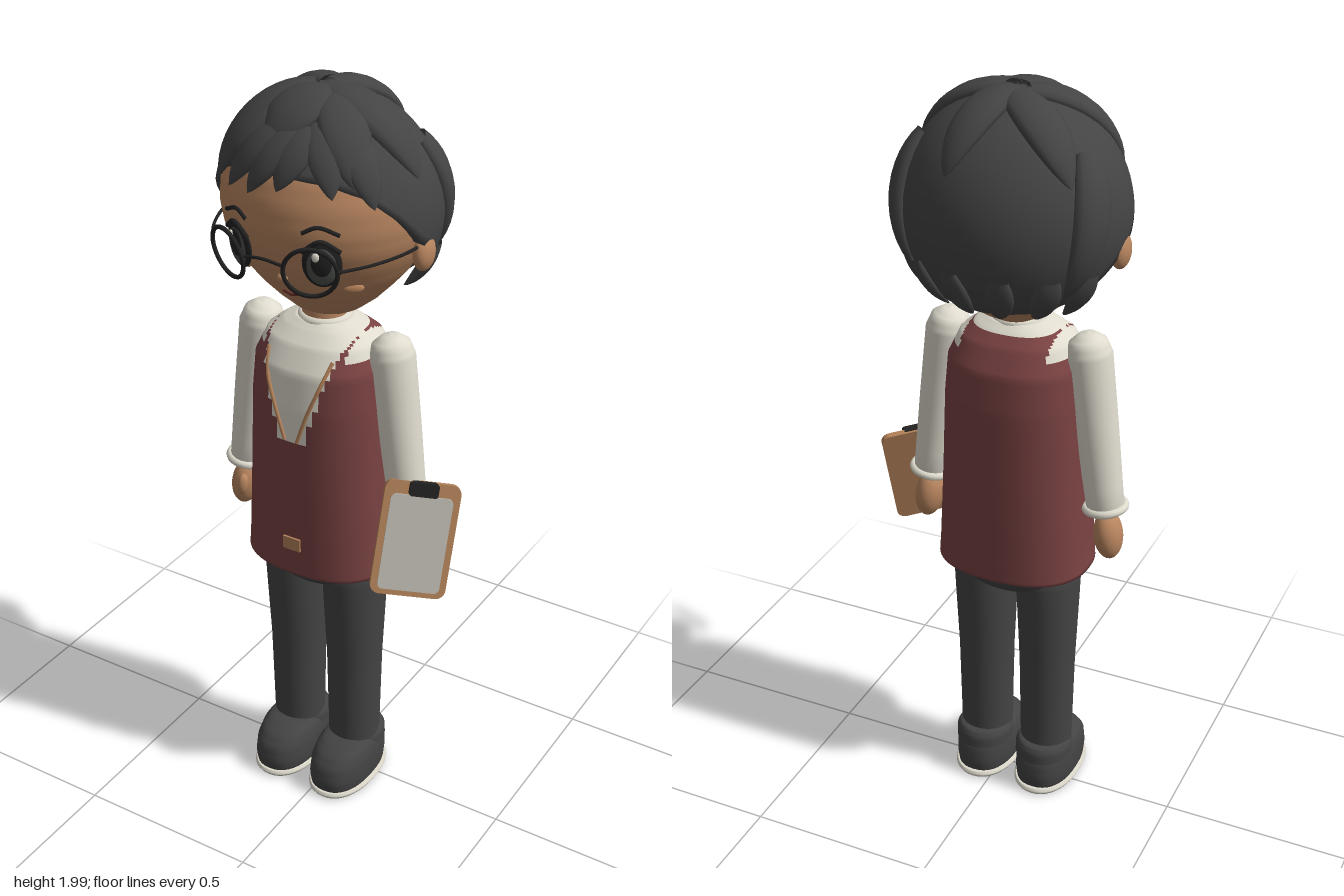
import * as THREE from 'three';

const mat = (name, color) => Object.assign(new THREE.MeshStandardMaterial({ color }), { name });

// Closed grid surface: fn(u, v) gives a point, u runs around, v runs along; pick chooses a material per face
function surface(nu, nv, fn, pick) {
  const pos = [], idx = [[], []];
  for (let j = 0; j <= nv; j++) for (let i = 0; i < nu; i++) pos.push(...fn(i / nu, j / nv));
  for (let j = 0; j < nv; j++) for (let i = 0; i < nu; i++) {
    const a = j * nu + i, b = j * nu + (i + 1) % nu, c = b + nu, d = a + nu;
    const mid = [0, 1, 2].map(k => (pos[a * 3 + k] + pos[c * 3 + k]) / 2);
    idx[pick ? pick(...mid) : 0].push(a, b, c, a, c, d);
  }
  const g = new THREE.BufferGeometry();
  g.setAttribute('position', new THREE.Float32BufferAttribute(pos, 3));
  g.setIndex([...idx[0], ...idx[1]]);
  if (pick) {
    g.addGroup(0, idx[0].length, 0);
    g.addGroup(idx[0].length, idx[1].length, 1);
  }
  g.computeVertexNormals();
  return g;
}

// Loft through rings [y, rx, rz, cz], bottom to top; n squares the section
function loft(rings, { n = 2, nu = 40, steps = 3, pick } = {}) {
  const pw = c => Math.sign(c) * Math.abs(c) ** (2 / n);
  return surface(nu, (rings.length - 1) * steps, (u, v) => {
    const k = v * (rings.length - 1), i = Math.min(Math.floor(k + 1e-6), rings.length - 2);
    const [y, rx, rz, cz] = [0, 1, 2, 3].map(q => THREE.MathUtils.lerp(rings[i][q] ?? 0, rings[i + 1][q] ?? 0, k - i));
    const a = u * Math.PI * 2;
    return [rx * pw(Math.sin(a)), y, cz + rz * pw(Math.cos(a))];
  }, pick);
}

// Front depth of a loft at offset x and height y
function frontZ(rings, x, y, n = 2) {
  const i = rings.findIndex((r, k) => k < rings.length - 1 && r[0] <= y && rings[k + 1][0] > y);
  const t = (y - rings[i][0]) / (rings[i + 1][0] - rings[i][0]);
  const [rx, rz, cz] = [1, 2, 3].map(q => THREE.MathUtils.lerp(rings[i][q] ?? 0, rings[i + 1][q] ?? 0, t));
  return cz + rz * Math.max(0, 1 - (Math.abs(x) / rx) ** n) ** (1 / n);
}

export function createModel() {
  const skin = mat('skin', 0xb98660), charcoal = mat('charcoal', 0x444444), maroon = mat('maroon', 0x7a4242);
  const cream = mat('cream', 0xdfdbce), wood = mat('wood', 0xb5835a), paper = mat('paper', 0xbfbcb2);
  const black = mat('black', 0x222222), grey = mat('eye grey', 0x4d504c), red = mat('lip red', 0x6b2f28);
  charcoal.side = maroon.side = THREE.DoubleSide;

  const root = new THREE.Group();
  const body = new THREE.Group();
  body.name = 'figure';
  body.position.x = -0.045;
  root.add(body);
  const add = (name, geo, material, p = [0, 0, 0], s = [1, 1, 1], parent = body) => {
    const m = new THREE.Mesh(geo, material);
    m.name = name;
    m.position.set(...p);
    m.scale.set(...s);
    parent.add(m);
    return m;
  };
  const ball = new THREE.SphereGeometry(1, 28, 20);
  const tube = (pts, r, seg = 24) => new THREE.TubeGeometry(
    new THREE.CatmullRomCurve3(pts.map(p => new THREE.Vector3(...p))), seg, r, 8);

  // Vest and shirt share one torso, coloured by region
  const torso = [[0.73, 0.15, 0.12], [0.72, 0.205, 0.165], [0.78, 0.2, 0.165], [1.0, 0.188, 0.165], [1.2, 0.18, 0.162],
    [1.3, 0.172, 0.152], [1.36, 0.145, 0.118], [1.39, 0.105, 0.085], [1.405, 0.07, 0.065], [1.41, 0, 0]];
  const isShirt = (x, y, z) => {
    const d = Math.abs(x);
    const collar = y > 1.385, shoulder = y > 1.33 && d > 0.115 && Math.abs(z) < 0.1;
    const neckline = z > 0 && y > 1.11 && d < Math.max(0.05, 0.05 + (y - 1.17) * 0.3);
    return collar || shoulder || neckline ? 1 : 0;
  };
  add('vestAndShirt', loft(torso, { n: 2.4, nu: 72, steps: 7, pick: isShirt }), [maroon, cream]);
  for (const s of [-1, 1]) {
    const pts = [[0.092, 1.34], [0.075, 1.28], [0.045, 1.2], [0.018, 1.12]];
    add('necklineTrim', tube(pts.map(([x, y]) => [s * x, y, frontZ(torso, x, y, 2.4) + 0.002]), 0.005), wood);
  }
  add('pocketTag', new THREE.BoxGeometry(0.05, 0.036, 0.009), wood, [0, 0.815, 0.166]);
  add('neck', new THREE.CylinderGeometry(0.055, 0.06, 0.08, 28), skin, [0, 1.42, 0]);
  add('collar', new THREE.TorusGeometry(0.056, 0.013, 10, 32).rotateX(Math.PI / 2), cream, [0, 1.402, 0]);

  // Trousers, shoes and soles
  add('hips', ball, charcoal, [0, 0.76, -0.003], [0.193, 0.135, 0.155]);
  for (const s of [-1, 1]) {
    add('leg', loft([[0.1, 0.07, 0.07], [0.4, 0.075, 0.078], [0.6, 0.082, 0.093], [0.7, 0.085, 0.1], [0.74, 0.05, 0.06]]),
      charcoal, [s * 0.09, 0, 0]);
    add('shoe', loft([[0.012, 0, 0, 0.035], [0.015, 0.078, 0.132, 0.035], [0.05, 0.081, 0.138, 0.035], [0.09, 0.08, 0.132, 0.032],
      [0.118, 0.074, 0.115, 0.025], [0.134, 0.064, 0.095, 0.012], [0.142, 0.04, 0.06, 0], [0.144, 0, 0, 0]], { n: 2.4 }),
      charcoal, [s * 0.09, 0, 0]);
    add('ankle', loft([[0.1, 0.078, 0.084], [0.13, 0.077, 0.083], [0.146, 0.068, 0.074], [0.149, 0.04, 0.05]]),
      charcoal, [s * 0.09, 0, -0.015]);
    add('sole', loft([[0, 0, 0, 0.034], [0.001, 0.083, 0.138, 0.034], [0.01, 0.088, 0.144, 0.034], [0.02, 0.084, 0.139, 0.034],
      [0.021, 0, 0, 0.034]], { n: 2.2 }), cream, [s * 0.09, 0, 0]);

    // Arm with cuff and hand
    const arm = new THREE.Group();
    arm.name = s < 0 ? 'rightArm' : 'leftArm';
    arm.position.set(s * 0.19, 1.335, -0.003);
    arm.rotation.z = s * 0.13;
    body.add(arm);
    add('sleeve', loft([[-0.435, 0, 0], [-0.43, 0.048, 0.05], [-0.2, 0.054, 0.057], [0, 0.058, 0.06], [0.035, 0.047, 0.05],
      [0.053, 0.024, 0.026], [0.058, 0, 0]]), cream, [0, 0, 0], [1, 1, 1], arm);
    add('cuff', new THREE.TorusGeometry(0.05, 0.011, 10, 32).rotateX(Math.PI / 2), cream, [0, -0.42, 0], [1, 1, 1], arm);
    add('hand', ball, skin, [0, -0.502, 0], [0.037, 0.068, 0.045], arm);
    add('thumb', ball, skin, [-s * 0.012, -0.49, 0.038], [0.015, 0.032, 0.017], arm);
  }

  // Head with tapered chin
  const cz = -0.02;
  const head = [[1.405, 0, 0], [1.412, 0.05, 0.047], [1.435, 0.092, 0.087], [1.47, 0.135, 0.125], [1.51, 0.173, 0.162], [1.55, 0.207, 0.193],
    [1.6, 0.237, 0.221], [1.65, 0.257, 0.241], [1.7, 0.265, 0.25], [1.76, 0.262, 0.246], [1.82, 0.242, 0.226],
    [1.88, 0.195, 0.185], [1.93, 0.12, 0.11], [1.95, 0, 0]].map(r => [...r, cz]);
  add('head', loft(head, { nu: 56 }), skin);
  const onFace = (x, y, lift = 0) => [x, y, frontZ(head, x, y) + lift];
  add('nose', ball, skin, onFace(0, 1.572, 0.002), [0.014, 0.011, 0.012]);
  add('mouth', tube([[-0.022, 1.522], [0, 1.512], [0.022, 1.522]].map(([x, y]) => onFace(x, y, 0.001)), 0.005), red);

  for (const s of [-1, 1]) {
    add('ear', ball, skin, [s * 0.265, 1.622, -0.012], [0.024, 0.046, 0.037]);
    add('cheek', ball, wood, onFace(s * 0.15, 1.552), [0.025, 0.013, 0.008]).rotation.y = s * 0.65;
    add('eyebrow', tube([[0.075, 1.712], [0.11, 1.728], [0.155, 1.71]].map(([x, y]) => onFace(s * x, y, 0.002)), 0.005), black);

    // Eye layers
    const eye = new THREE.Group();
    eye.name = 'eye';
    eye.position.set(...onFace(s * 0.113, 1.635, 0.004));
    eye.rotation.set(0.1, s * 0.42, 0);
    body.add(eye);
    add('eyeRim', ball, black, [0, 0, 0], [0.047, 0.06, 0.012], eye);
    add('iris', ball, grey, [0, -0.003, 0.004], [0.038, 0.05, 0.011], eye);
    add('pupil', ball, black, [0, 0.004, 0.008], [0.027, 0.037, 0.01], eye);
    add('eyeShine', ball, cream, [-0.012, 0.024, 0.015], [0.009, 0.012, 0.005], eye);
    add('upperLash', tube([[-0.045, 0.032, 0.004], [0, 0.061, 0.01], [0.045, 0.032, 0.004]], 0.006), black, [0, 0, 0], [1, 1, 1], eye);

    // Spectacle ring and side arm
    const ring = add('spectacleRing', new THREE.TorusGeometry(0.063, 0.0055, 8, 48), black, [s * 0.113, 1.632, 0.245]);
    ring.rotation.set(0.17, s * 0.4, 0, 'YXZ');
    add('spectacleArm', tube([[s * 0.17, 1.637, 0.222], [s * 0.22, 1.64, 0.15], [s * 0.253, 1.643, 0.07], [s * 0.266, 1.645, 0]], 0.004), black);
  }
  add('spectacleBridge', tube([[-0.052, 1.643, 0.265], [0, 1.652, 0.272], [0.052, 1.643, 0.265]], 0.004), black);

  // Hair cap with a hairline that drops from brow to nape
  const C = new THREE.Vector3(0, 1.69, cz), R = new THREE.Vector3(0.283, 0.285, 0.255);
  const line = [[0, 1.83], [0.5, 1.82], [0.84, 1.79], [1.13, 1.73], [1.41, 1.655], [1.75, 1.6], [2.1, 1.53], [2.6, 1.5], [3.2, 1.49]];
  const hairline = a => {
    const i = line.findIndex(p => p[0] > a);
    return THREE.MathUtils.mapLinear(a, line[i - 1][0], line[i][0], line[i - 1][1], line[i][1]);
  };
  add('hairCap', surface(72, 20, (u, v) => {
    const a = u * Math.PI * 2, low = Math.asin((hairline(Math.min(a, Math.PI * 2 - a)) - C.y) / R.y);
    const e = THREE.MathUtils.lerp(low, Math.PI / 2, Math.max(0, v * 20 - 1) / 19), k = v === 0 ? 0.86 : 1;
    return [k * R.x * Math.cos(e) * Math.sin(a), C.y + R.y * Math.sin(e), cz + k * R.z * Math.cos(e) * Math.cos(a)];
  }), charcoal);

  // Directions on the cap, given from above, from the front or from the side
  const root1 = (a, b) => Math.sqrt(Math.max(0, 1 - a * a - b * b));
  const top = (x, z) => { const a = (x + 0.045) / R.x, b = (z - cz) / R.z; return new THREE.Vector3(a, root1(a, b), b); };
  const front = (x, y) => { const a = (x + 0.045) / R.x, b = (y - C.y) / R.y; return new THREE.Vector3(a, b, root1(a, b)); };
  const side = (z, y, s) => { const a = (z - cz) / R.z, b = (y - C.y) / R.y; return new THREE.Vector3(s * root1(a, b), b, a); };
  const polar = (a, y) => { const b = (y - C.y) / R.y, c = Math.sqrt(1 - b * b); return new THREE.Vector3(c * Math.sin(a), b, c * Math.cos(a)); };

  // Leaf-shaped lock lying on the cap from one direction to another
  function lock(name, from, to, width, thick) {
    const at = t => from.clone().lerp(to, t).normalize();
    add(name, surface(14, 14, (u, v) => {
      const n = at(v), p = n.clone().multiply(R).add(C);
      const tan = at(v + 0.01).sub(at(v - 0.01)).multiply(R).normalize();
      const b = tan.clone().cross(n).normalize(), a = u * Math.PI * 2;
      const f = v === 1 ? 0 : Math.sin(Math.PI * (0.18 + 0.82 * v)) ** 0.8;
      p.addScaledVector(n, thick * f * Math.cos(a)).addScaledVector(b, width * f * Math.sin(a));
      return p.toArray();
    }), charcoal);
  }
  [[-0.06, -0.06, -0.245, -0.165, 0.055], [-0.04, -0.03, 0.035, -0.235, 0.055], [-0.02, 0, 0.212, 0.005, 0.06],
    [-0.08, -0.02, -0.255, 0.135, 0.052], [-0.04, 0.01, -0.09, 0.17, 0.075], [0, 0.03, 0.13, 0.15, 0.06]]
    .forEach(([x0, z0, x1, z1, w]) => lock('crownLock', top(x0, z0), top(x1, z1), w, 0.026));
  [[-0.12, 1.93, -0.255, 1.76], [-0.07, 1.92, -0.19, 1.77], [-0.03, 1.92, -0.12, 1.775], [0, 1.92, -0.04, 1.795],
    [0.01, 1.93, 0.09, 1.79], [0.07, 1.92, 0.17, 1.765]]
    .forEach(([x0, y0, x1, y1]) => lock('fringeLock', front(x0, y0), front(x1, y1), 0.042, 0.018));
  for (const s of [-1, 1]) {
    lock('sideLock', side(-0.09, 1.87, s), side(-0.16, 1.54, s), 0.05, 0.025);
    [2.05, 2.45, 2.9].forEach(a => lock('napeLock', polar(s * a, 1.6), polar(s * (a + 0.05), 1.475), 0.035, 0.016));
  }

  // Clipboard held at the left side
  const board = new THREE.Group();
  board.name = 'clipboard';
  const w = new THREE.Vector3(0.155, -0.03, -0.105).normalize();
  const n = w.clone().cross(new THREE.Vector3(0.03, 0.28, -0.11)).normalize();
  board.quaternion.setFromRotationMatrix(new THREE.Matrix4().makeBasis(w, n.clone().cross(w), n));
  board.position.set(0.2525, 0.867, 0.0525);
  root.add(board);
  const panel = (x, y, r, depth) => {
    const s = new THREE.Shape();
    [[1, -1, -90], [1, 1, 0], [-1, 1, 90], [-1, -1, 180]].forEach(([i, j, d]) => {
      const a = d * Math.PI / 180;
      s.absarc(i * (x / 2 - r), j * (y / 2 - r), r, a, a + Math.PI / 2);
    });
    return new THREE.ExtrudeGeometry(s, { depth, bevelEnabled: false, curveSegments: 6 });
  };
  add('backboard', panel(0.195, 0.305, 0.025, 0.016), wood, [0, 0, -0.008], [1, 1, 1], board);
  add('sheet', panel(0.16, 0.255, 0.015, 0.004), paper, [0, -0.01, 0.008], [1, 1, 1], board);
  add('clip', panel(0.075, 0.036, 0.008, 0.022), black, [0, 0.135, -0.002], [1, 1, 1], board);
  return root;
}
